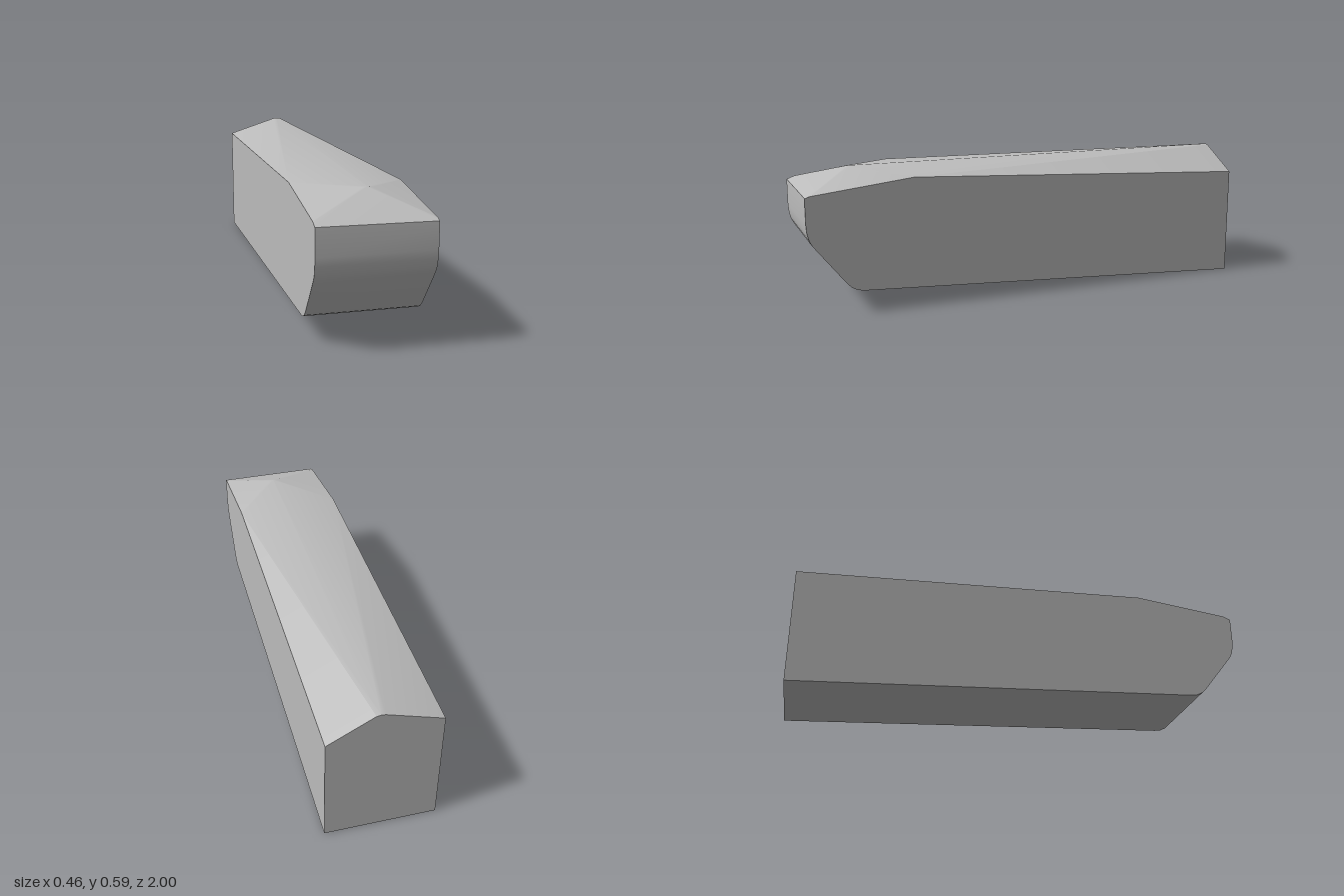
import * as THREE from 'three';
import { ConvexGeometry } from 'three/addons/geometries/ConvexGeometry.js';
import { toCreasedNormals } from 'three/addons/utils/BufferGeometryUtils.js';

export function createModel() {
  const group = new THREE.Group();
  const grey = new THREE.MeshStandardMaterial({ color: 0xbcbcbc });
  grey.name = 'plain grey';

  const half = 0.231;
  const points = [];
  const add = (x, y, z) => points.push(new THREE.Vector3(x, y, z));

  // Underside and rounded nose, as [z, y], shared by both flanks
  const profile = [
    [-1, 0], [0.77, 0.095], [0.8, 0.1], [0.825, 0.113], [0.845, 0.133], [0.866, 0.16],
    [0.957, 0.275], [0.978, 0.302], [0.99, 0.326], [0.997, 0.355], [1, 0.39], [1, 0.475],
  ];
  for (const x of [-half, half]) for (const [z, y] of profile) add(x, y, z);

  // Upper edges of the flanks, slightly higher on the right
  add(half, 0.498, 0.999);
  add(half, 0.505, 0.98);
  add(half, 0.555, 0.55);
  add(half, 0.48, -1);
  add(-half, 0.502, 0.999);
  add(-half, 0.515, 0.965);
  add(-half, 0.566, 0.55);
  add(-half, 0.51, -1);

  // Softened ridge, a little off centre
  for (const [x, y] of [[0.005, 0.585], [0.022, 0.587], [0.04, 0.584]]) {
    add(x, y, 0.78);
    add(x, y, -1);
  }

  const geometry = toCreasedNormals(new ConvexGeometry(points), 0.28);
  const body = new THREE.Mesh(geometry, grey);
  body.name = 'facetedBody';
  group.add(body);
  return group;
}
